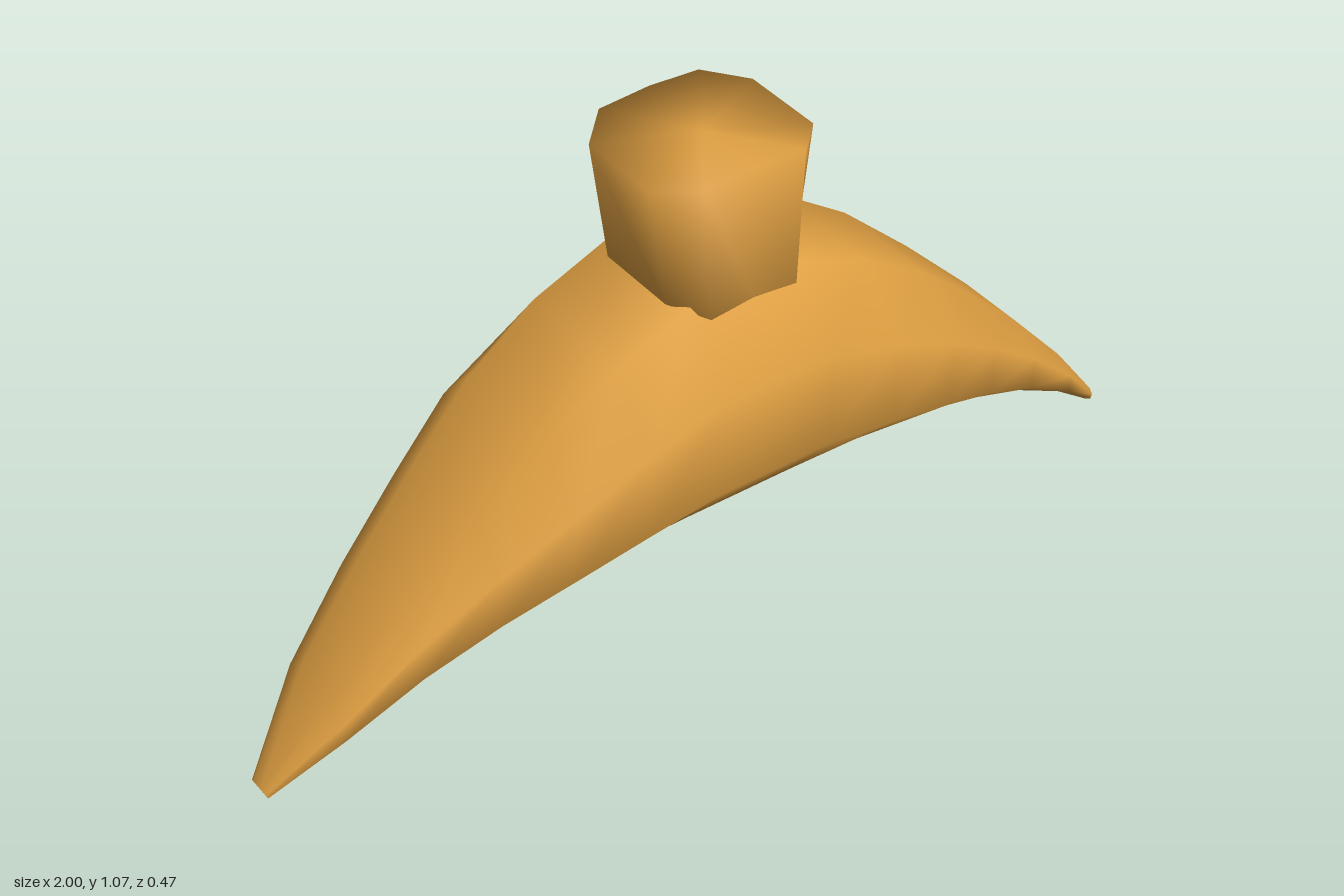
import * as THREE from 'three';

// Joins closed rings of points into a smooth, capped solid.
function loft(rings) {
  const n = rings[0].length;
  const points = rings.flat();
  const index = [];
  for (let i = 0; i < rings.length - 1; i++) {
    for (let j = 0; j < n; j++) {
      const k = (j + 1) % n;
      const a = i * n + j, b = i * n + k;
      index.push(a, b, a + n, b, b + n, a + n);
    }
  }
  const centre = (ring) => [0, 1, 2].map((c) => ring.reduce((s, p) => s + p[c], 0) / n);
  const last = (rings.length - 1) * n;
  const start = points.length, end = start + 1;
  points.push(centre(rings[0]), centre(rings[rings.length - 1]));
  for (let j = 0; j < n; j++) {
    const k = (j + 1) % n;
    index.push(start, k, j, end, last + j, last + k);
  }
  const geometry = new THREE.BufferGeometry();
  geometry.setAttribute('position', new THREE.Float32BufferAttribute(points.flat(), 3));
  geometry.setIndex(index);
  geometry.computeVertexNormals();
  return geometry;
}

export function createModel() {
  const group = new THREE.Group();
  const amber = new THREE.MeshStandardMaterial({ color: 0xe0a042 });
  amber.name = 'amber';

  // Half of the crescent: x at top, x at bottom, bottom y, top y, half width
  const half = [
    [0.12, 0.12, 0.303, 0.80, 0.235],
    [0.28, 0.28, 0.30, 0.735, 0.235],
    [0.43, 0.43, 0.285, 0.635, 0.22],
    [0.57, 0.57, 0.243, 0.51, 0.18],
    [0.715, 0.715, 0.188, 0.367, 0.14],
    [0.86, 0.86, 0.107, 0.204, 0.098],
    [1.0, 0.99, 0.0, 0.024, 0.025],
  ];
  const mirrored = half.map(([t, b, ...rest]) => [-t, -b, ...rest]).reverse();
  // Octagonal section: height fraction, width fraction
  const octagon = [
    [1, -0.55], [1, 0.55], [0.69, 1], [0.28, 1],
    [0, 0.5], [0, -0.5], [0.28, -1], [0.69, -1],
  ];
  const sections = [...mirrored, ...half].map(([xt, xb, y0, y1, w]) =>
    octagon.map(([h, z]) => [xb + (xt - xb) * h, y0 + (y1 - y0) * h, z * w]));
  const crescent = new THREE.Mesh(loft(sections), amber);
  crescent.name = 'crescentBody';
  group.add(crescent);

  // Flared neck with a slightly domed top
  const neckRing = (side, corner, ySide, yCorner, yMid) => [
    [side, ySide, 0.09], [side, ySide, -0.09],
    [corner, yCorner, -0.16], [0, yMid, -0.16], [-corner, yCorner, -0.16],
    [-side, ySide, -0.09], [-side, ySide, 0.09],
    [-corner, yCorner, 0.16], [0, yMid, 0.16], [corner, yCorner, 0.16],
  ];
  const neck = new THREE.Mesh(loft([
    neckRing(0.145, 0.095, 0.795, 0.78, 0.79),
    neckRing(0.18, 0.11, 1.053, 1.063, 1.07),
  ]), amber);
  neck.name = 'neck';
  group.add(neck);

  return group;
}
